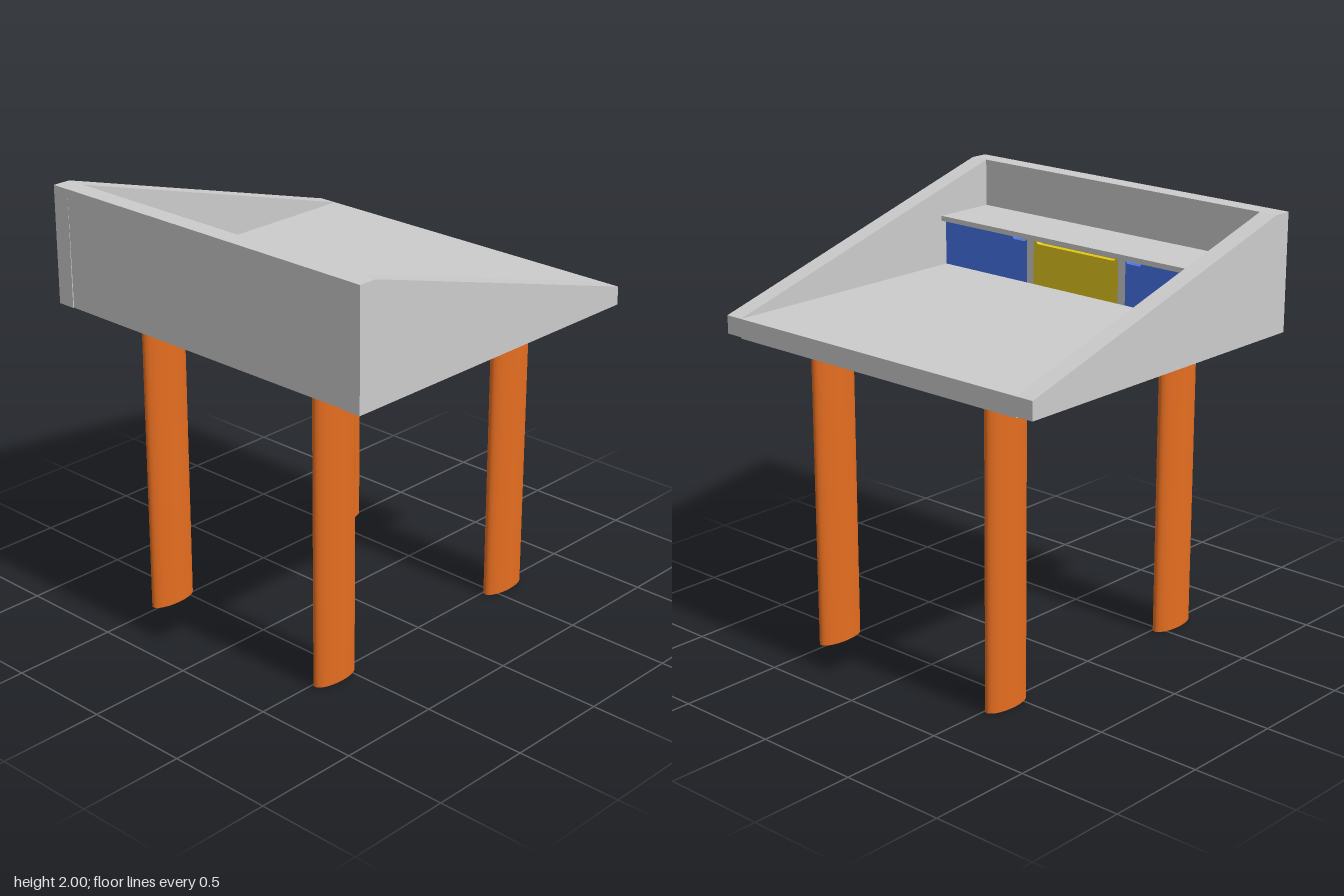
import * as THREE from 'three';

const grey = new THREE.MeshStandardMaterial({ color: 0xcccccc });
const orange = new THREE.MeshStandardMaterial({ color: 0xe56d20 });
const blue = new THREE.MeshStandardMaterial({ color: 0x4874ea });
const yellow = new THREE.MeshStandardMaterial({ color: 0xe2c71e });

// Box given by its limits on each axis
function block(name, material, [x0, x1], [y0, y1], [z0, z1]) {
  const mesh = new THREE.Mesh(new THREE.BoxGeometry(x1 - x0, y1 - y0, z1 - z0), material);
  mesh.position.set((x0 + x1) / 2, (y0 + y1) / 2, (z0 + z1) / 2);
  mesh.name = name;
  return mesh;
}

function extrude(name, material, shape, depth) {
  const geometry = new THREE.ExtrudeGeometry(shape, { depth, bevelEnabled: false, curveSegments: 6 });
  const mesh = new THREE.Mesh(geometry, material);
  mesh.name = name;
  return mesh;
}

const polygon = (points) => new THREE.Shape(points.map(([x, y]) => new THREE.Vector2(x, y)));

// Drawer front facing +x, with a round-cornered finger notch from n0 to n1 in its top edge
function drawerFront(name, material, z0, z1, n0, n1) {
  const bottom = 1.53, top = 1.755, low = 1.73, r = 0.02;
  const s = new THREE.Shape();
  s.moveTo(z0, bottom);
  s.lineTo(z1, bottom);
  s.lineTo(z1, top);
  s.lineTo(n1, top);
  s.quadraticCurveTo(n1, low, n1 - r, low);
  s.lineTo(n0 + r, low);
  s.quadraticCurveTo(n0, low, n0, top);
  s.lineTo(z0, top);
  const mesh = extrude(name, material, s, 0.03);
  mesh.rotation.y = -Math.PI / 2;
  mesh.position.x = -0.47;
  return mesh;
}

export function createModel() {
  const model = new THREE.Group();
  model.name = 'deskOnLegs';

  // Tray: base, sloping sides and tall back wall
  const tray = new THREE.Group();
  tray.name = 'tray';
  tray.add(block('base', grey, [-0.8, 0.842], [1.444, 1.535], [-0.82, 0.82]));
  const sideProfile = polygon([[-0.843, 1.45], [0.842, 1.45], [0.842, 1.535], [-0.755, 2], [-0.843, 2]]);
  for (const z of [-0.908, 0.818]) {
    const side = extrude('sideWall', grey, sideProfile, 0.09);
    side.position.z = z;
    tray.add(side);
  }
  const wallProfile = polygon([[-0.838, 1.45], [-0.755, 1.45], [-0.755, 2], [-0.843, 2]]);
  const wall = extrude('backWall', grey, wallProfile, 1.636);
  wall.position.z = -0.818;
  tray.add(wall);
  model.add(tray);

  // Shelf with dividers and three drawers below
  const cabinet = new THREE.Group();
  cabinet.name = 'drawerShelf';
  cabinet.add(block('shelf', grey, [-0.755, -0.44], [1.752, 1.776], [-0.818, 0.818]));
  for (const s of [-1, 1]) {
    cabinet.add(block('divider', grey, [-0.755, -0.47], [1.53, 1.755], [s * 0.275 - 0.021, s * 0.275 + 0.021]));
    const [z0, z1] = s > 0 ? [0.296, 0.818] : [-0.818, -0.296];
    const [n0, n1] = s > 0 ? [0.297, 0.39] : [-0.39, -0.297];
    cabinet.add(drawerFront('sideDrawerFront', blue, z0, z1, n0, n1));
    cabinet.add(block('sideDrawerBody', grey, [-0.75, -0.5], [1.535, 1.752], [z0, z1]));
  }
  cabinet.add(drawerFront('middleDrawerFront', yellow, -0.254, 0.254, -0.24, 0.24));
  cabinet.add(block('middleDrawerBody', yellow, [-0.75, -0.5], [1.535, 1.752], [-0.25, 0.25]));
  model.add(cabinet);

  // Four oval legs
  const legGeometry = new THREE.CylinderGeometry(1, 1, 1.432, 48);
  legGeometry.scale(0.121, 1, 0.048);
  for (const x of [-0.58, 0.573]) {
    for (const z of [-0.52, 0.52]) {
      const leg = new THREE.Mesh(legGeometry, orange);
      leg.name = 'leg';
      leg.position.set(x, 0.716, z);
      model.add(leg);
    }
  }
  return model;
}
